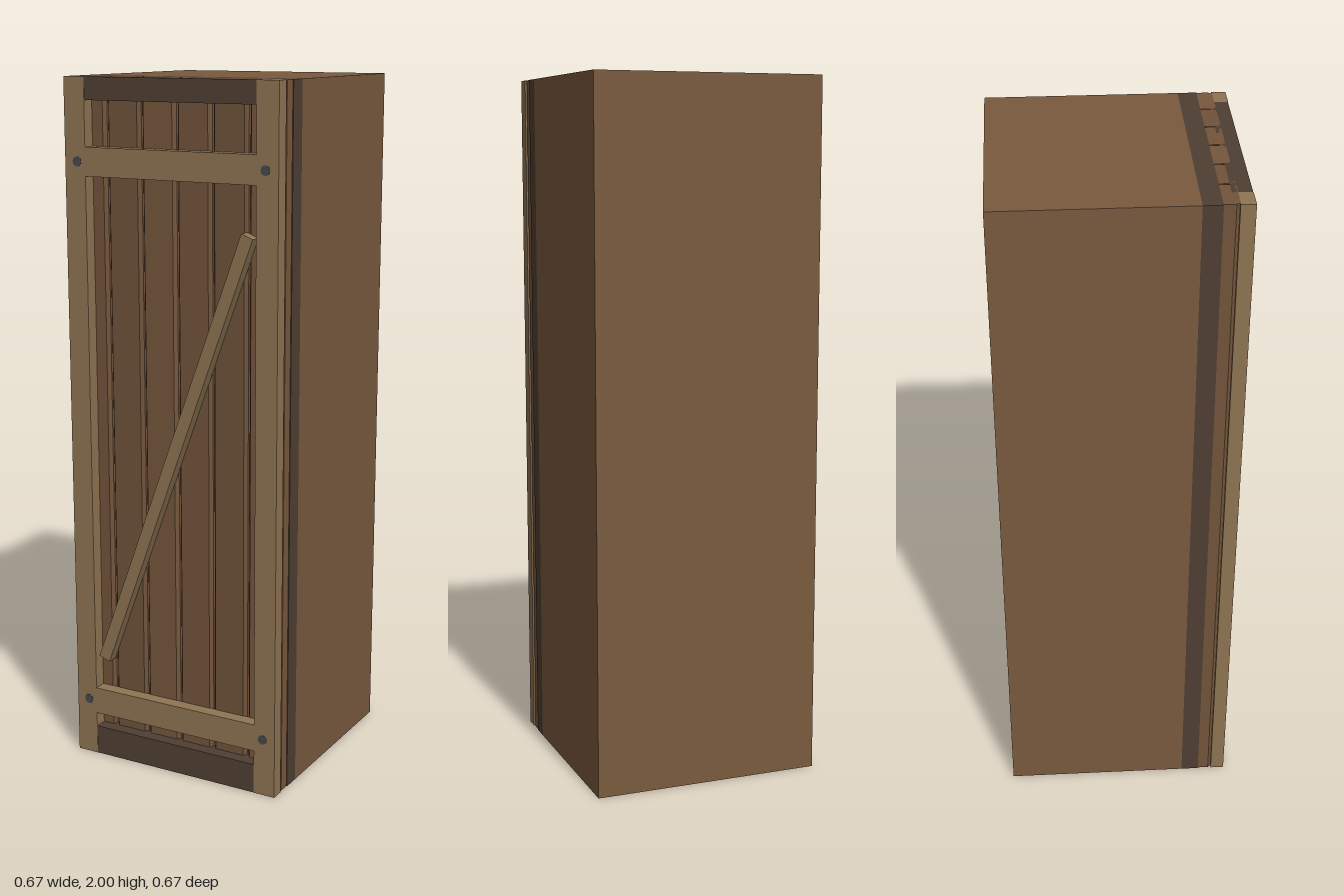
import * as THREE from 'three';

const material = (color) => new THREE.MeshStandardMaterial({ color });

export function createModel() {
  const model = new THREE.Group();
  const body = material(0x7a5a3e);
  const dark = material(0x4f3f33);
  const light = material(0x8f7553);
  const iron = material(0x454a4a);
  const plankTones = [0x72543a, 0x70523a, 0x75563c, 0x72543a, 0x70523a, 0x79583f].map(material);

  const add = (name, geometry, mat, x, y, z) => {
    const mesh = new THREE.Mesh(geometry, mat);
    mesh.name = name;
    mesh.position.set(x, y, z);
    model.add(mesh);
    return mesh;
  };
  // Box given by its lower and upper limits on each axis
  const block = (name, mat, [x0, x1], [y0, y1], [z0, z1]) =>
    add(name, new THREE.BoxGeometry(x1 - x0, y1 - y0, z1 - z0), mat,
      (x0 + x1) / 2, (y0 + y1) / 2, (z0 + z1) / 2);

  const W = 0.333, H = 2, inner = 0.267, front = 0.333;

  // Solid body and the dark backing behind the planks
  block('body', body, [-W, W], [0, H], [-0.334, 0.2]);
  block('backing', dark, [-W, W], [0, H], [0.2, 0.252]);

  // Six upright planks with chamfered front edges
  const half = 0.0532, z0 = 0.252, z1 = 0.295, cx = 0.008, cz = 0.011;
  const profile = new THREE.Shape([
    [-half, -z0], [-half, -z1 + cz], [-half + cx, -z1],
    [half - cx, -z1], [half, -z1 + cz], [half, -z0],
  ].map(([x, y]) => new THREE.Vector2(x, y)));
  const plank = new THREE.ExtrudeGeometry(profile, { depth: H, bevelEnabled: false });
  plank.rotateX(-Math.PI / 2);
  plankTones.forEach((tone, i) => add('plank', plank, tone, (i - 2.5) * 0.111, 0, 0));

  // Dark trims at the bottom and top
  block('bottomTrim', dark, [-inner, inner], [0, 0.087], [0.279, front - 0.001]);
  block('topTrim', dark, [-inner, inner], [1.937, H], [0.279, front - 0.001]);

  // Stiles, rails and the bolts at their joints
  const bolt = new THREE.CylinderGeometry(0.014, 0.014, 0.01, 12).rotateX(Math.PI / 2);
  for (const side of [-1, 1]) {
    const edges = [side * inner, side * W].sort((a, b) => a - b);
    block(side > 0 ? 'leftStile' : 'rightStile', light, edges, [0, H], [0.293, front]);
    for (const y of [0.17, 1.77]) add('bolt', bolt, iron, side * 0.294, y, front - 0.004);
  }
  for (const y of [0.17, 1.77]) {
    block('rail', light, [-inner, inner], [y - 0.04, y + 0.04], [0.293, front]);
  }

  // Diagonal brace
  const a = new THREE.Vector2(-0.24, 0.307), b = new THREE.Vector2(0.237, 1.594);
  const brace = add('brace', new THREE.BoxGeometry(0.037, a.distanceTo(b), 0.034), light,
    (a.x + b.x) / 2, (a.y + b.y) / 2, 0.31);
  brace.rotation.z = -Math.atan2(b.x - a.x, b.y - a.y);

  return model;
}
